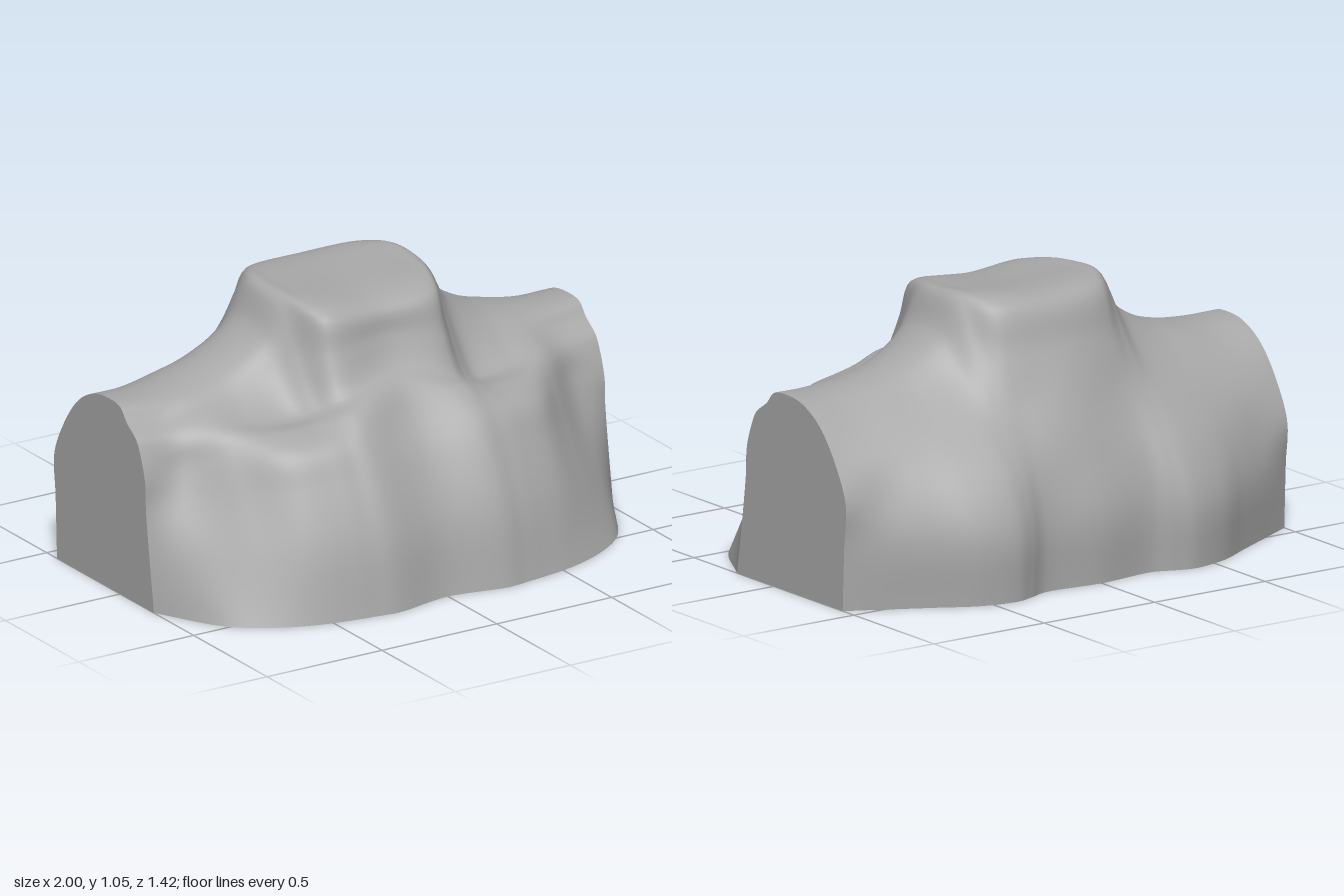
import * as THREE from 'three';

// Half of the body, one row per station from the middle to the arm cut:
// x, front hem z, chest crest z, collar hollow z and y, neck front z, top y, neck back z, shoulder blade z, back hem z
const STATIONS = [
  [0, .67, .42, .28, .78, .2, 1.03, -.36, -.6, -.67],
  [.24, .71, .49, .33, .72, .19, 1.04, -.32, -.6, -.65],
  [.325, .7, .48, .28, .68, .05, 1.04, -.22, -.62, -.68],
  [.4, .69, .47, .24, .65, .04, .91, -.2, -.63, -.7],
  [.55, .66, .43, .22, .65, .03, .81, -.2, -.6, -.67],
  [.7, .6, .3, .18, .67, .03, .765, -.2, -.54, -.59],
  [.85, .49, .18, .13, .64, .02, .745, -.18, -.48, -.51],
  [1, .23, .17, .11, .64, 0, .745, -.18, -.45, -.43],
];
const U = 112, V = 84;

// Control points of one cross-section, from the front hem over the top to the back hem.
function section([x, hem, crest, hollowZ, hollowY, neckFront, top, neckBack, blade, backHem]) {
  const q = x * x;
  const crestY = .62 - .13 * q;
  const frontY = top - .05 + .04 * x, backY = top - .015;
  const baseZ = -.5 + .1 * x, baseY = .72 - .2 * x;
  const chestZ = f => hem + (crest - hem) * f;
  return [
    [hem, 0],
    [chestZ(.2 + .35 * q), .45 * crestY],
    [chestZ(.62 + .3 * q), .8 * crestY],
    [crest, crestY],
    [(crest + hollowZ) / 2, (crestY + hollowY) / 2 + .02],
    [hollowZ, hollowY],
    [(hollowZ + neckFront) / 2 - .01, (hollowY + frontY) / 2],
    [neckFront, frontY],
    [-.08, top],
    [neckBack, backY],
    [(neckBack + baseZ) / 2, (backY + baseY) / 2 + .04 * q],
    [baseZ, baseY],
    [blade, .47 - .07 * x],
    [backHem - .01 * x, .25],
    [backHem, 0],
  ];
}

// Smooth grid of points: curves across the body first, then a curve around each cross-section.
function makeRows() {
  const half = STATIONS.map(s => section(s).map(([z, y]) => new THREE.Vector3(s[0], y, z)));
  const mirrored = half.slice(1).reverse().map(s => s.map(p => new THREE.Vector3(-p.x, p.y, p.z)));
  const all = [...mirrored, ...half];
  const strands = half[0].map((_, i) => new THREE.CatmullRomCurve3(all.map(s => s[i])));
  const rows = [];
  for (let u = 0; u <= U; u++) {
    rows.push(new THREE.CatmullRomCurve3(strands.map(s => s.getPoint(u / U))).getPoints(V));
  }
  return rows;
}

function makeMesh(name, points, index, material) {
  const geometry = new THREE.BufferGeometry().setFromPoints(points);
  geometry.setIndex(index);
  geometry.computeVertexNormals();
  const mesh = new THREE.Mesh(geometry, material);
  mesh.name = name;
  return mesh;
}

export function createModel() {
  const group = new THREE.Group();
  group.name = 'torsoBust';
  const clay = new THREE.MeshStandardMaterial({ color: 0xa8a8a8 });
  clay.name = 'grey clay';
  const rows = makeRows();

  // Chest, shoulders, neck and back as one smooth skin
  const skin = [];
  for (let u = 0; u < U; u++) {
    for (let v = 0; v < V; v++) {
      const a = u * (V + 1) + v, b = a + V + 1;
      skin.push(a, b, b + 1, a, b + 1, a + 1);
    }
  }
  group.add(makeMesh('torso', rows.flat(), skin, clay));

  // Flat underside between the front and back hems
  const hem = rows.flatMap(r => [r[0], r[V]]);
  const base = [];
  for (let u = 0; u < U; u++) {
    const f = u * 2;
    base.push(f, f + 1, f + 2, f + 2, f + 1, f + 3);
  }
  group.add(makeMesh('base', hem, base, clay));

  // Flat cuts where the arms end
  for (const side of [-1, 1]) {
    const rim = side > 0 ? rows[U] : rows[0];
    const fan = [];
    for (let v = 0; v < V; v++) {
      fan.push(0, ...(side > 0 ? [v + 2, v + 1] : [v + 1, v + 2]));
    }
    const centre = new THREE.Vector3(side, 0, -.09);
    group.add(makeMesh(side > 0 ? 'leftArmCut' : 'rightArmCut', [centre, ...rim], fan, clay));
  }
  return group;
}
